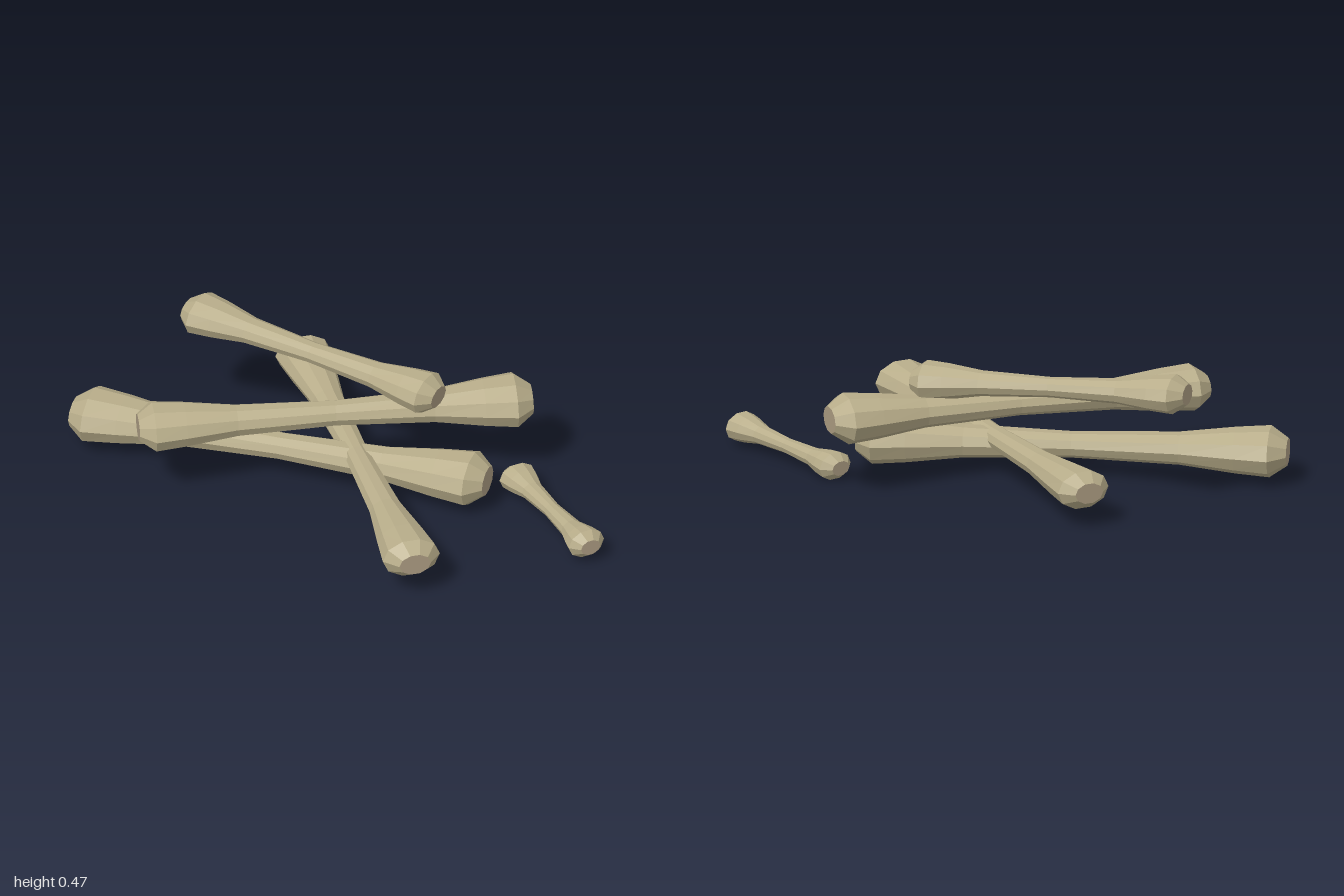
import * as THREE from 'three';

const SIDES = 10;
const boneMaterial = new THREE.MeshStandardMaterial({ color: 0xb8ad8a, flatShading: true });
const endMaterial = new THREE.MeshStandardMaterial({ color: 0xac9c82, flatShading: true });

// One bone from end a to end b; each end has a half width and half height at its knuckle.
function makeBone(name, a, b, [w0, h0], [w1, h1]) {
  const start = new THREE.Vector3(...a);
  const axis = new THREE.Vector3(...b).sub(start);
  const length = axis.length();
  axis.normalize();
  const c0 = 0.48 * w0 / length;
  const c1 = 0.48 * w1 / length;

  // Radius along the bone: cut end, knuckle, shoulder, waist, then mirrored
  const profile = [
    [0.55, 0], [1, c0], [0.86, c0 + 0.08], [0.58, 0.25], [0.44, 0.5],
    [0.58, 0.75], [0.86, 0.92 - c1], [1, 1 - c1], [0.55, 1],
  ].map(([r, t]) => new THREE.Vector2(r, t));

  // Flatten the round section into an oval that blends from one end to the other
  const shape = (geometry) => {
    const p = geometry.attributes.position;
    for (let i = 0; i < p.count; i++) {
      const t = p.getY(i);
      const rounder = 1 + 0.2 * Math.sin(Math.PI * t);
      p.setXYZ(i,
        p.getX(i) * THREE.MathUtils.lerp(w0, w1, t),
        t * length,
        p.getZ(i) * THREE.MathUtils.lerp(h0, h1, t) * rounder * 1.04);
    }
    geometry.computeVertexNormals();
    return geometry;
  };

  const bone = new THREE.Group();
  bone.name = name;
  const body = new THREE.Mesh(shape(new THREE.LatheGeometry(profile, SIDES, Math.PI / 2)), boneMaterial);
  body.name = 'shaft';
  bone.add(body);

  // Flat faces closing both ends
  for (const t of [0, 1]) {
    const disc = new THREE.CircleGeometry(0.55, SIDES);
    disc.rotateX(t ? -Math.PI / 2 : Math.PI / 2).translate(0, t, 0);
    const cap = new THREE.Mesh(shape(disc), endMaterial);
    cap.name = t ? 'farEnd' : 'nearEnd';
    bone.add(cap);
  }

  // Lay the bone along its axis with the wide side level
  const side = new THREE.Vector3().crossVectors(axis, new THREE.Vector3(0, 1, 0)).normalize();
  const up = new THREE.Vector3().crossVectors(side, axis);
  bone.quaternion.setFromRotationMatrix(new THREE.Matrix4().makeBasis(side, axis, up));
  bone.position.copy(start);
  return bone;
}

export function createModel() {
  const model = new THREE.Group();
  model.name = 'bonePile';
  model.add(
    makeBone('longBone', [-0.975, 0.11, 0.355], [0.465, 0.11, -0.17], [0.13, 0.083], [0.122, 0.085]),
    makeBone('lowerCrossBone', [-0.59, 0.13, -0.445], [0.625, 0.135, 0.455], [0.1, 0.066], [0.105, 0.07]),
    makeBone('upperCrossBone', [-0.583, 0.26, 0.493], [0.412, 0.273, -0.493], [0.113, 0.076], [0.125, 0.083]),
    makeBone('topBone', [-0.78, 0.41, -0.05], [0.232, 0.362, -0.188], [0.1, 0.064], [0.096, 0.065]),
    makeBone('smallBone', [0.438, 0.048, -0.35], [0.98, 0.066, -0.1], [0.07, 0.047], [0.07, 0.05]),
  );
  return model;
}
